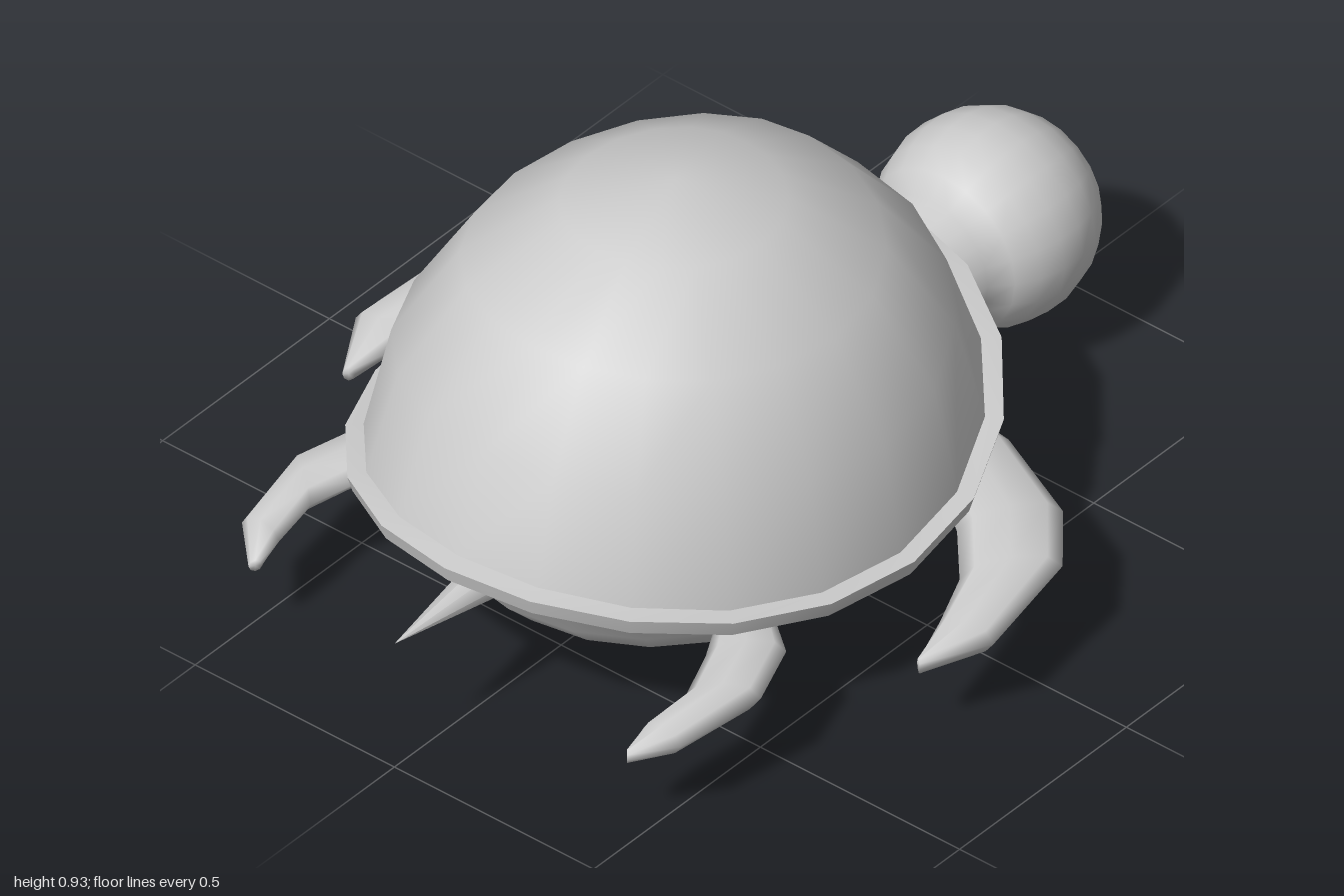
import * as THREE from 'three';
import { mergeVertices, mergeGeometries } from 'three/addons/utils/BufferGeometryUtils.js';

const SEGMENTS = 20;
const CENTRE_X = -0.16;

// Skin a list of closed rings, each an array of [x, y, z]
function loft(rings) {
  const n = rings[0].length;
  const index = [];
  for (let i = 0; i < rings.length - 1; i++) {
    for (let j = 0; j < n; j++) {
      const k = (j + 1) % n;
      const a = i * n + j, b = i * n + k, c = a + n, d = b + n;
      index.push(a, c, b, c, d, b);
    }
  }
  let geometry = new THREE.BufferGeometry();
  geometry.setAttribute('position', new THREE.Float32BufferAttribute(rings.flat(2), 3));
  geometry.setIndex(index);
  geometry = mergeVertices(geometry, 1e-5);
  geometry.computeVertexNormals();
  return geometry;
}

// Height of the saddle-shaped shell edge at an angle around the body
function edgeHeight(a) {
  const c = Math.cos(a);
  const tip = c > 0.99 ? 0.015 : 0;
  return 0.285 + c * c * (c > 0 ? 0.14 : 0.095) + tip;
}

// Ring around the body; shape(angle) gives [x radius, y, z radius]
function bodyRing(shape) {
  return Array.from({ length: SEGMENTS }, (_, j) => {
    const a = (j / SEGMENTS) * Math.PI * 2;
    const [rx, y, rz] = shape(a);
    return [CENTRE_X + rx * Math.cos(a), y, -rz * Math.sin(a)];
  });
}

// Dome ring at fraction f from the top (0) to the shell edge (1)
function domeRing(f) {
  return bodyRing((a) => {
    const t = f * Math.acos((edgeHeight(a) + 0.02 - 0.31) / 0.62);
    return [0.655 * Math.sin(t), 0.31 + 0.62 * Math.cos(t), 0.567 * Math.sin(t)];
  });
}

// Ring that follows the shell edge
const edgeRing = (rx, rz, dy) => bodyRing((a) => [rx, edgeHeight(a) + dy, rz]);

// Flattened limb; sections are [outer x, outer z, inner x, inner z, y, half thickness]
function flipper(sections, side) {
  const sides = 8;
  const rings = sections.map(([ox, oz, ix, iz, y, h]) =>
    Array.from({ length: sides }, (_, j) => {
      const a = (j / sides) * Math.PI * 2;
      const c = Math.cos(a) / 2;
      return [
        (ox + ix) / 2 + c * (ox - ix),
        y - side * h * Math.sin(a),
        side * ((oz + iz) / 2 + c * (oz - iz)),
      ];
    }));
  // close both ends at their middles
  const middle = ([ox, oz, ix, iz, y]) =>
    Array.from({ length: sides }, () => [(ox + ix) / 2, y, side * (oz + iz) / 2]);
  return loft([middle(sections[0]), ...rings, middle(sections[sections.length - 1])]);
}

export function createModel() {
  const model = new THREE.Group();
  model.name = 'turtle';
  const grey = new THREE.MeshStandardMaterial({ color: 0xcccccc });
  grey.name = 'plain grey';

  const add = (name, geometry) => {
    const mesh = new THREE.Mesh(geometry, grey);
    mesh.name = name;
    model.add(mesh);
    return mesh;
  };

  // Upper shell
  add('shellDome', loft([0, 0.25, 0.5, 0.75, 1].map(domeRing)));

  // Shell rim: top, outer and lower bands with crisp edges between them
  const rimRings = [
    domeRing(1),
    edgeRing(0.69, 0.602, 0.015),
    edgeRing(0.68, 0.592, -0.02),
    edgeRing(0.61, 0.53, -0.02),
  ];
  const bands = [];
  for (let i = 0; i < rimRings.length - 1; i++) bands.push(loft([rimRings[i], rimRings[i + 1]]));
  add('shellRim', mergeGeometries(bands));

  // Belly, from the inside of the rim down to the lowest point
  const bellyRings = [edgeRing(0.61, 0.53, -0.02)];
  for (let i = 0; i <= 5; i++) {
    const t = (i / 5) * Math.PI / 2;
    bellyRings.push(bodyRing(() => [0.525 * Math.cos(t), 0.265 - 0.265 * Math.sin(t), 0.475 * Math.cos(t)]));
  }
  add('belly', loft(bellyRings));

  // Head and neck in one turned shape along x
  const profile = [[0, 0.28], [0.07, 0.3], [0.1, 0.4], [0.135, 0.5]];
  for (let i = 0; i <= 10; i++) {
    const t = THREE.MathUtils.lerp(0.7, Math.PI, i / 10);
    profile.push([Math.max(0, 0.222 * Math.sin(t)), 0.778 - 0.222 * Math.cos(t)]);
  }
  const headGeometry = new THREE.LatheGeometry(profile.map(([r, x]) => new THREE.Vector2(r, x)), 20);
  headGeometry.rotateZ(-Math.PI / 2);
  add('headAndNeck', headGeometry).position.set(0, 0.284, 0);
  model.children[model.children.length - 1].scale.set(1, 0.965, 1);

  // Tail
  const tailGeometry = new THREE.ConeGeometry(0.055, 0.34, 8);
  tailGeometry.rotateZ(Math.PI / 2);
  add('tail', tailGeometry).position.set(-0.83, 0.3, 0);

  // Flippers, mirrored across the body
  const front = [
    [0.33, 0.25, 0.2, 0.22, 0.25, 0.02],
    [0.305, 0.45, 0.12, 0.42, 0.245, 0.035],
    [0.21, 0.665, 0.03, 0.55, 0.235, 0.04],
    [0.09, 0.765, -0.07, 0.64, 0.222, 0.04],
    [-0.16, 0.8, -0.17, 0.675, 0.197, 0.035],
    [-0.29, 0.725, -0.275, 0.705, 0.175, 0.016],
  ];
  const rear = [
    [-0.38, 0.42, -0.45, 0.36, 0.245, 0.025],
    [-0.47, 0.54, -0.58, 0.43, 0.235, 0.035],
    [-0.6, 0.585, -0.69, 0.47, 0.22, 0.037],
    [-0.8, 0.55, -0.8, 0.457, 0.203, 0.03],
    [-0.87, 0.475, -0.85, 0.458, 0.175, 0.013],
  ];
  for (const [side, label] of [[1, 'Right'], [-1, 'Left']]) {
    add('frontFlipper' + label, flipper(front, side));
    add('rearFlipper' + label, flipper(rear, side));
  }
  return model;
}
